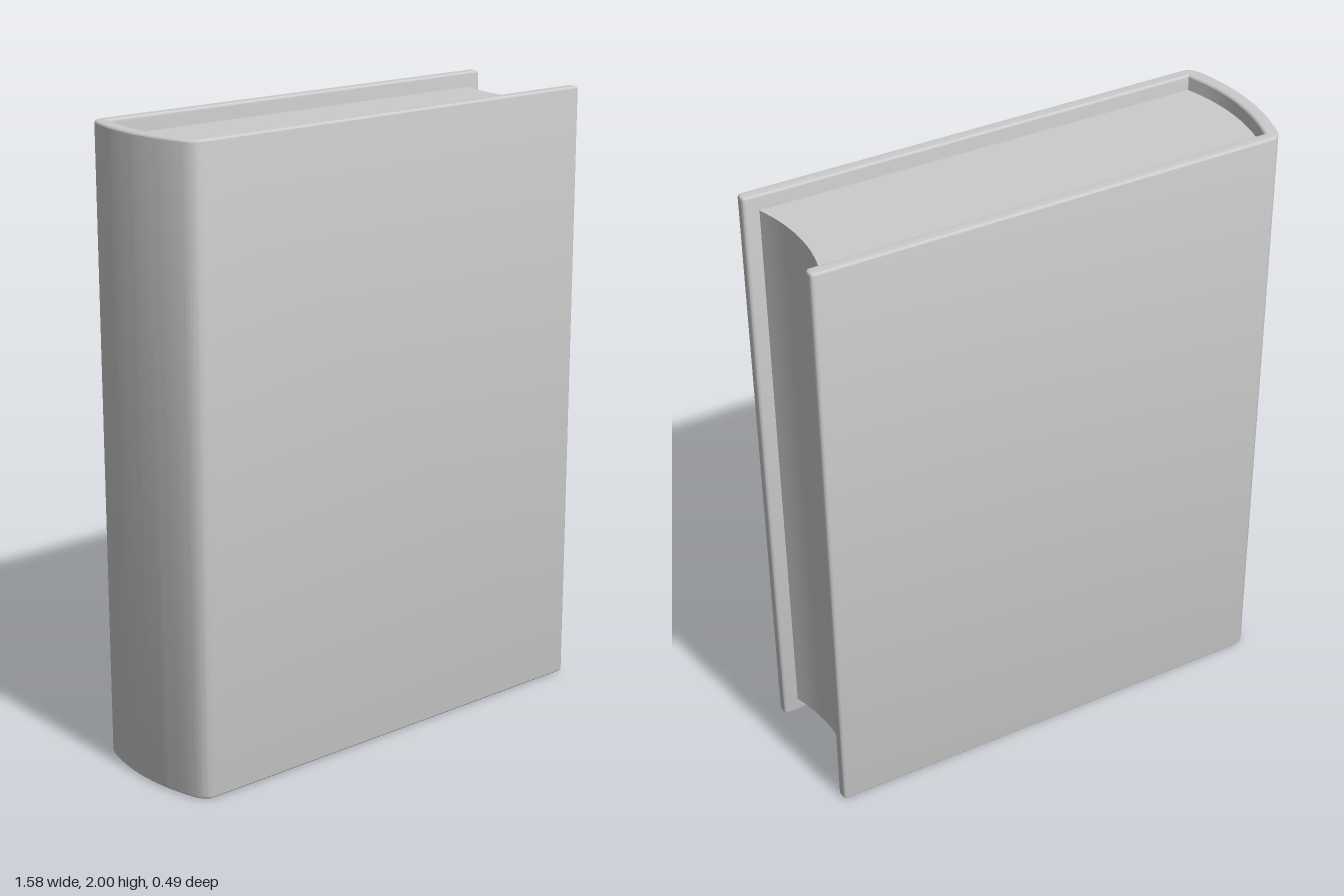
import * as THREE from 'three';
import { toCreasedNormals } from 'three/addons/utils/BufferGeometryUtils.js';

const HALF = 0.247;   // outer half thickness of the book
const INNER = 0.205;  // half thickness of the page block
const EDGE = 0.79;    // fore-edge of the cover boards
const ROUND = 0.014;  // rounding of the board edges
const BEVEL = 0.01;

// Extrudes a plan outline (x, z) upwards from y0 to y1
function uprightExtrude(shape, y0, y1, bevel) {
  const geometry = new THREE.ExtrudeGeometry(shape, {
    depth: y1 - y0 - 2 * bevel,
    curveSegments: 14,
    bevelEnabled: bevel > 0,
    bevelSize: bevel,
    bevelThickness: bevel,
    bevelOffset: -bevel,
    bevelSegments: 4,
  });
  geometry.translate(0, 0, y0 + bevel);
  geometry.rotateX(-Math.PI / 2);
  return toCreasedNormals(geometry, 0.3);
}

// Both boards and the curved spine as one U-shaped outline
function coverShape() {
  const s = new THREE.Shape();
  s.moveTo(-0.71, -HALF);
  s.lineTo(EDGE - ROUND, -HALF);
  s.quadraticCurveTo(EDGE, -HALF, EDGE, -HALF + ROUND);
  s.lineTo(EDGE, -INNER - ROUND);
  s.quadraticCurveTo(EDGE, -INNER, EDGE - ROUND, -INNER);
  s.lineTo(-0.71, -INNER);
  s.quadraticCurveTo(-0.78, 0, -0.71, INNER);
  s.lineTo(EDGE - ROUND, INNER);
  s.quadraticCurveTo(EDGE, INNER, EDGE, INNER + ROUND);
  s.lineTo(EDGE, HALF - ROUND);
  s.quadraticCurveTo(EDGE, HALF, EDGE - ROUND, HALF);
  s.lineTo(-0.71, HALF);
  s.quadraticCurveTo(-0.745, HALF, -0.76, 0.2);
  s.quadraticCurveTo(-0.82, 0, -0.76, -0.2);
  s.quadraticCurveTo(-0.745, -HALF, -0.71, -HALF);
  return s;
}

// Page block: rounded at the spine, hollow at the fore-edge
function pagesShape() {
  const s = new THREE.Shape();
  s.moveTo(-0.71, -INNER);
  s.lineTo(0.74, -INNER);
  s.quadraticCurveTo(0.664, 0, 0.74, INNER);
  s.lineTo(-0.71, INNER);
  s.quadraticCurveTo(-0.78, 0, -0.71, -INNER);
  return s;
}

export function createModel() {
  const group = new THREE.Group();
  group.name = 'book';
  const material = new THREE.MeshStandardMaterial({ color: 0xcccccc });

  const cover = new THREE.Mesh(uprightExtrude(coverShape(), 0, 2, BEVEL), material);
  cover.name = 'cover';

  const pages = new THREE.Mesh(uprightExtrude(pagesShape(), 0.05, 1.95, 0), material);
  pages.name = 'pages';

  group.add(cover, pages);
  return group;
}
